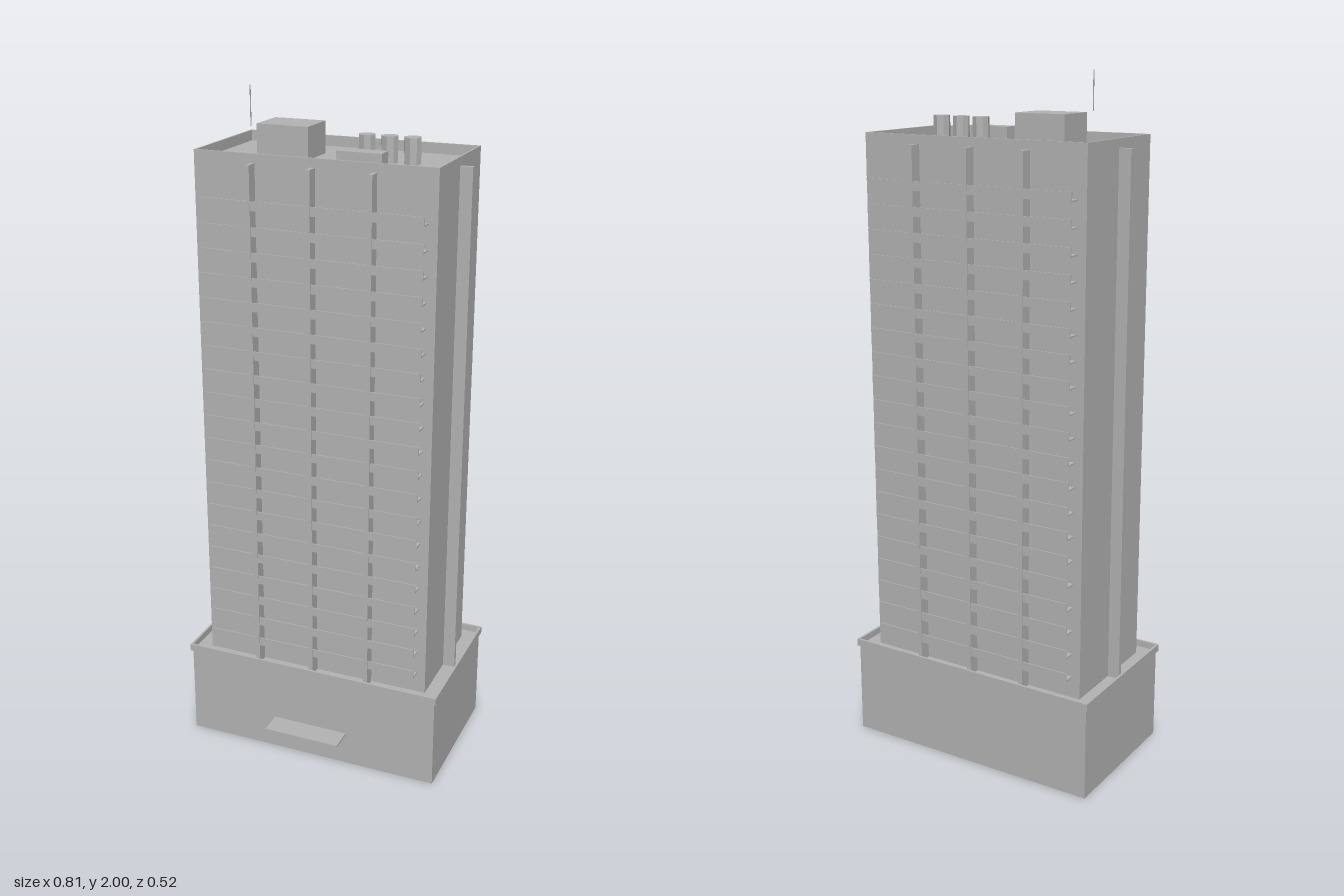
import * as THREE from 'three';

const concrete = new THREE.MeshStandardMaterial({ color: 0xb4b4b4, side: THREE.DoubleSide });
concrete.name = 'concrete grey';

const ZC = -0.0325; // z of the tower axis
const BASE_TOP = 0.28, ROOF = 1.8;

export function createModel() {
  const model = new THREE.Group();
  model.name = 'towerBlock';

  const add = (name, geometry, x, y, z, parent = model) => {
    const mesh = new THREE.Mesh(geometry, concrete);
    mesh.name = name;
    mesh.position.set(x, y, z);
    parent.add(mesh);
    return mesh;
  };
  // box given by its minimum and maximum on each axis
  const box = (name, [x0, x1], [y0, y1], [z0, z1], parent) =>
    add(name, new THREE.BoxGeometry(x1 - x0, y1 - y0, z1 - z0),
      (x0 + x1) / 2, (y0 + y1) / 2, (z0 + z1) / 2, parent);

  // rectangular ring wall around the tower axis
  const ring = (name, hx, hz, thick, y0, y1) => {
    const rect = (P, a, b) => new P([[-a, -b], [a, -b], [a, b], [-a, b]].map((p) => new THREE.Vector2(...p)));
    const shape = rect(THREE.Shape, hx, hz);
    shape.holes.push(rect(THREE.Path, hx - thick, hz - thick));
    const geometry = new THREE.ExtrudeGeometry(shape, { depth: y1 - y0, bevelEnabled: false });
    geometry.rotateX(-Math.PI / 2);
    add(name, geometry, 0, y0, ZC);
  };

  // podium: a shell without a floor
  const podium = new THREE.BoxGeometry(0.794, BASE_TOP, 0.443);
  const index = Array.from(podium.index.array);
  index.splice(18, 6); // drop the bottom face
  podium.setIndex(index);
  podium.clearGroups();
  add('podium', podium, 0, BASE_TOP / 2, ZC);
  ring('podiumParapet', 0.403, 0.2275, 0.007, BASE_TOP - 0.002, 0.3);
  box('entranceCanopy', [-0.118, 0.118], [0.098, 0.104], [0.189, 0.26]);

  // tower body and roof parapet
  box('tower', [-0.352, 0.352], [BASE_TOP, ROOF], [ZC - 0.1775, ZC + 0.1775]);
  ring('roofParapet', 0.352, 0.1775, 0.006, ROOF, 1.83);

  // vertical fins on the two ends
  for (const s of [-1, 1]) {
    add('endFin', new THREE.BoxGeometry(0.036, 1.525, 0.013), s * 0.37, 1.0425, ZC);
  }

  // fins and balconies on both long sides
  for (const [name, s] of [['front', 1], ['back', -1]]) {
    const facade = new THREE.Group();
    facade.name = name + 'Facade';
    model.add(facade);
    for (const x of [-0.176, 0, 0.176]) {
      add('fin', new THREE.BoxGeometry(0.013, 1.525, 0.0355), x, 1.0425, ZC + s * 0.19525, facade);
    }
    for (let i = 0; i < 20; i++) {
      const y = 0.341 + i * 0.0706;
      add('balconySlab', new THREE.BoxGeometry(0.652, 0.004, 0.034), 0, y + 0.002, ZC + s * 0.1945, facade);
      add('balconyRail', new THREE.BoxGeometry(0.652, 0.026, 0.003), 0, y + 0.013, ZC + s * 0.21, facade);
    }
  }

  // rooftop equipment
  box('liftHouse', [-0.218, -0.064], [ROOF, 1.89], [-0.094, 0.028]);
  box('ventBox', [0.04, 0.17], [ROOF, 1.842], [0.032, 0.08]);
  for (const x of [0.084, 0.15, 0.216]) {
    const drum = new THREE.CylinderGeometry(0.024, 0.024, 0.072, 8).toNonIndexed();
    drum.computeVertexNormals();
    add('coolingDrum', drum, x, ROOF + 0.036, -0.033);
  }
  add('antenna', new THREE.CylinderGeometry(0.0015, 0.0015, 0.11, 6), -0.212, 1.945, 0.074);

  return model;
}
